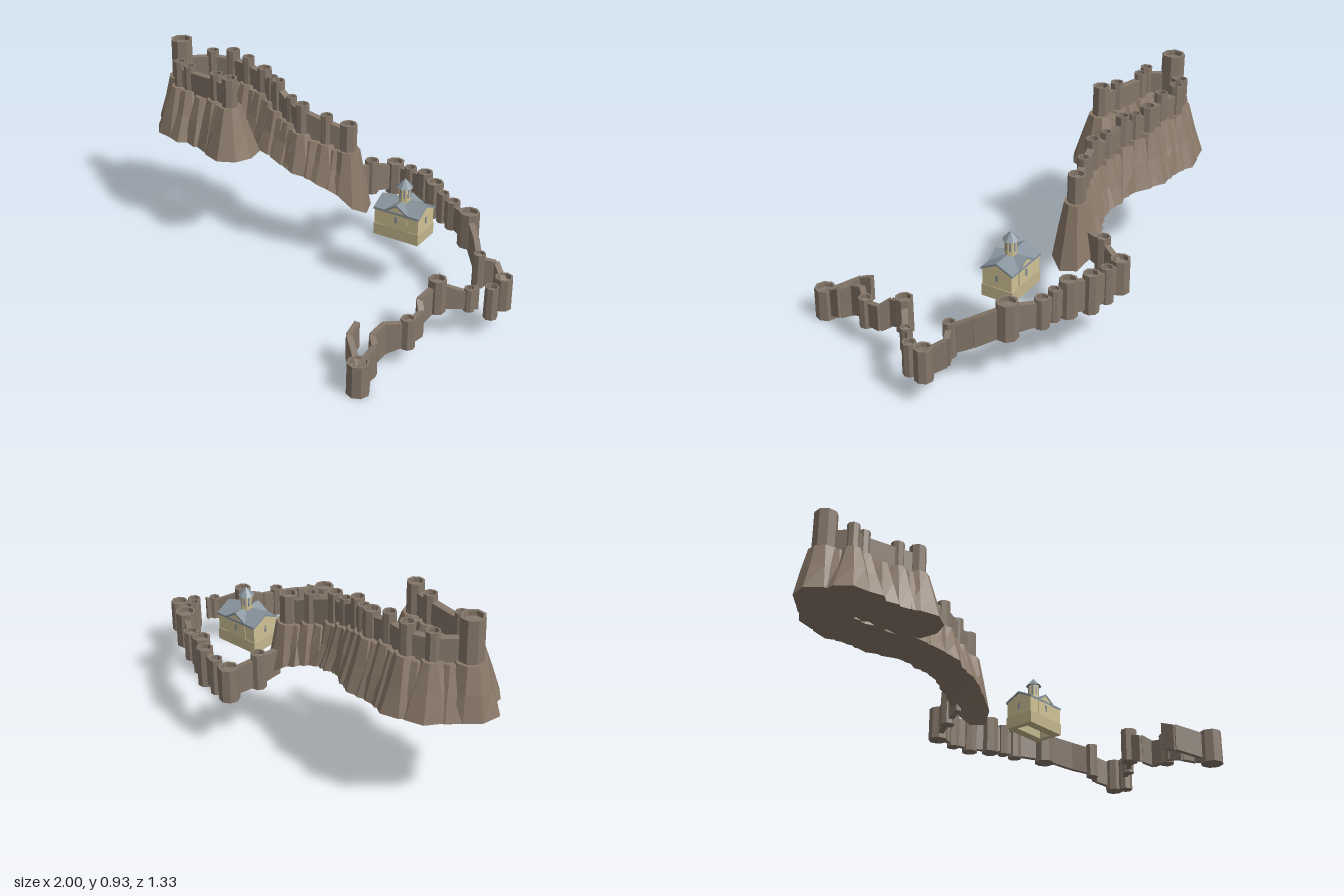
import * as THREE from 'three';
import { ConvexGeometry } from 'three/addons/geometries/ConvexGeometry.js';

const mat = (name, color) => {
  const m = new THREE.MeshStandardMaterial({ color });
  m.name = name;
  return m;
};

// Fixed pseudo-random value in -1..1
const noise = (n) => {
  const s = Math.sin(n * 127.1 + 3.7) * 43758.5453;
  return (s - Math.floor(s)) * 2 - 1;
};

export function createModel() {
  const stone = mat('tower stone', 0x85776a);
  const rock = mat('crag rock', 0x8b7a6a);
  const plaster = mat('cream plaster', 0xd0c296);
  const plinthStone = mat('plinth stone', 0xc4b78d);
  const slate = mat('slate roof', 0x87939c);
  const glass = mat('window grey', 0x7f8a96);

  const model = new THREE.Group();
  model.name = 'hillFortress';
  const addGroup = (name, parent = model) => {
    const g = new THREE.Group();
    g.name = name;
    parent.add(g);
    return g;
  };
  const add = (parent, name, geo, material, x = 0, y = 0, z = 0) => {
    const flat = geo.index ? geo.toNonIndexed() : geo;
    flat.computeVertexNormals();
    const mesh = new THREE.Mesh(flat, material);
    mesh.name = name;
    mesh.position.set(x, y, z);
    parent.add(mesh);
    return mesh;
  };

  // Eight-sided tower with a recessed top
  function tower(parent, x, z, r, y0, y1) {
    const h = y1 - y0, inner = r * 0.74;
    const profile = [[0, 0], [r, 0], [r * 0.97, h], [inner, h], [inner, h - 0.022], [0, h - 0.022]];
    const geo = new THREE.LatheGeometry(profile.map((p) => new THREE.Vector2(...p)), 8);
    add(parent, 'tower', geo, stone, x, y0, z).rotation.y = noise(x * 9 + z) * 0.4;
  }

  // Straight wall whose foot and top slope from a to b; each is [x, z, foot, top]
  function wall(parent, a, b, thick = 0.026) {
    const dx = b[0] - a[0], dz = b[1] - a[1];
    const k = thick / 2 / Math.hypot(dx, dz);
    const pts = [];
    for (const [x, z, y0, y1] of [a, b])
      for (const s of [-k, k])
        for (const y of [y0, y1]) pts.push(new THREE.Vector3(x - dz * s, y, z + dx * s));
    add(parent, 'wall', new ConvexGeometry(pts), stone);
  }

  // Foot of the crag, which drops away towards the east
  const ground = [[-1, 0.505], [-0.36, 0.49], [-0.2, 0.455], [0, 0.4], [0.07, 0.36], [0.17, 0.27]];
  const groundAt = (x) => {
    for (let i = 1; i < ground.length; i++) {
      const [xa, ya] = ground[i - 1], [xb, yb] = ground[i];
      if (x <= xb) return ya + ((yb - ya) * Math.max(0, x - xa)) / (xb - xa);
    }
    return 0.27;
  };

  // Faceted flared rock under a point of the ridge
  function crag(parent, x, z, top, rTop, rFoot, seed) {
    const sides = 9;
    const geo = new THREE.CylinderGeometry(1, 1, 1, sides, 2);
    const p = geo.attributes.position;
    for (let i = 0; i < p.count; i++) {
      const px = p.getX(i), pz = p.getZ(i), t = 0.5 - p.getY(i);
      const edge = Math.hypot(px, pz) > 0.5 ? 1 : 0;
      const col = (Math.round((Math.atan2(px, pz) / Math.PI / 2) * sides) + sides) % sides;
      const bump = 1 + t * 0.1 * noise(seed * 13 + col + (t > 0.7 ? 50 : 0));
      const r = edge * (rTop + (rFoot - rTop) * Math.pow(t, 1.1)) * bump;
      const a = (col / sides) * Math.PI * 2 + seed * 0.7;
      const vx = x + Math.sin(a) * r, vz = z + Math.cos(a) * r;
      p.setXYZ(i, vx, top + (groundAt(vx) - top) * t, vz);
    }
    add(parent, 'crag', geo, rock);
  }

  // Upper castle along the ridge: x, z, tower radius, crest height, tower top, rock radius
  const ridge = [
    [0.06, -0.35, 0.042, 0.57, 0.7, 0.107], [-0.045, -0.33, 0.03, 0.59, 0.73, 0.105],
    [-0.165, -0.315, 0.034, 0.625, 0.765, 0.105], [-0.24, -0.345, 0.027, 0.65, 0.775, 0.105],
    [-0.33, -0.38, 0.032, 0.68, 0.825, 0.11], [-0.385, -0.415, 0.028, 0.7, 0.82, 0.115],
    [-0.45, -0.45, 0.037, 0.72, 0.84, 0.12], [-0.55, -0.47, 0.03, 0.735, 0.87, 0.125],
    [-0.655, -0.5, 0.034, 0.735, 0.875, 0.125], [-0.76, -0.48, 0.032, 0.735, 0.86, 0.125],
    [-0.88, -0.39, 0.055, 0.735, 0.925, 0.125], [-0.82, -0.28, 0.03, 0.735, 0.86, 0.125],
    [-0.76, -0.275, 0.03, 0.73, 0.85, 0.125], [-0.585, -0.235, 0.032, 0.73, 0.86, 0.12],
    [-0.49, -0.2, 0.04, 0.73, 0.87, 0.133],
  ];
  const cliff = addGroup('cragRidge');
  const castle = addGroup('upperCastle');
  ridge.forEach((n, i) => {
    const [x, z, r, crest, top, foot] = n;
    crag(cliff, x, z, crest, r + 0.014, foot, i);
    tower(castle, x, z, r, crest - 0.03, top);
    const m = ridge[i + 1];
    if (!m) return;
    wall(castle, [x, z, crest - 0.06, Math.min(top, 0.86) - 0.03],
      [m[0], m[1], m[3] - 0.06, Math.min(m[4], 0.86) - 0.03], 0.034);
    // Filler rock between neighbouring towers
    const mid = n.map((v, k) => (v + m[k]) / 2);
    crag(cliff, mid[0], mid[1], mid[3] - 0.01, 0.04, mid[5] * 0.93, i + 30);
  });

  // Lower curtain walls: x, z, tower radius (0 is a bend in the wall), foot, top
  const northWall = [
    [0.075, -0.41, 0, 0.33, 0.45], [0.11, -0.505, 0.034, 0.29, 0.46], [0.18, -0.62, 0.046, 0.262, 0.42],
    [0.27, -0.6, 0.031, 0.25, 0.42], [0.36, -0.57, 0.038, 0.245, 0.43], [0.44, -0.505, 0.042, 0.25, 0.425],
    [0.5, -0.47, 0.028, 0.25, 0.4], [0.56, -0.445, 0.034, 0.245, 0.385], [0.68, -0.35, 0.049, 0.235, 0.405],
    [0.765, -0.24, 0, 0.2, 0.34], [0.815, -0.157, 0.029, 0.16, 0.325], [0.885, -0.185, 0, 0.16, 0.29],
    [0.95, -0.115, 0.042, 0.115, 0.268],
  ];
  const eastTower = [[0.928, -0.035, 0.032, 0.1, 0.255]];
  const southWall = [
    [0.875, -0.005, 0, 0.145, 0.26], [0.852, 0.03, 0.026, 0.15, 0.26], [0.735, 0.11, 0.041, 0.155, 0.315],
    [0.695, 0.205, 0, 0.12, 0.255], [0.725, 0.245, 0, 0.1, 0.225], [0.705, 0.33, 0.033, 0.088, 0.23],
    [0.627, 0.4, 0, 0.07, 0.22], [0.607, 0.47, 0, 0.045, 0.2], [0.642, 0.515, 0, 0.035, 0.185],
    [0.617, 0.61, 0.051, 0, 0.15], [0.51, 0.49, 0, 0.06, 0.18], [0.515, 0.425, 0, 0.08, 0.205],
  ];
  Object.entries({ northWall, eastTower, southWall }).forEach(([name, nodes]) => {
    const g = addGroup(name);
    const end = ([x, z, r, y0, y1]) => [x, z, r ? y0 + 0.012 : y0, r ? y1 - 0.02 : y1];
    nodes.forEach((n, i) => {
      if (n[2]) tower(g, ...n);
      if (i) wall(g, end(nodes[i - 1]), end(n));
    });
  });

  // Church, with its own origin at the middle of the floor
  const church = addGroup('church');
  church.position.set(0.415, 0.285, -0.222);
  church.rotation.y = -0.06;
  const extrude = (pts, depth) => {
    const shape = new THREE.Shape(pts.map((p) => new THREE.Vector2(...p)));
    return new THREE.ExtrudeGeometry(shape, { depth, bevelEnabled: false }).translate(0, 0, -depth / 2);
  };
  const eave = 0.13, peak = 0.165;
  const gable = (w, depth) => extrude([[-w, 0.055], [w, 0.055], [w, eave], [0, peak], [-w, eave]], depth);
  const roof = (w, depth) => extrude(
    [[-w, eave - 0.003], [0, peak], [w, eave - 0.003], [w, eave + 0.007], [0, peak + 0.01], [-w, eave + 0.007]], depth);

  // Hollow plinth under the nave
  const base = new THREE.Shape([[-0.114, -0.075], [0.114, -0.075], [0.114, 0.075], [-0.114, 0.075]]
    .map((p) => new THREE.Vector2(...p)));
  base.holes.push(new THREE.Path([[-0.085, -0.03], [-0.085, 0.03], [0.085, 0.03], [0.085, -0.03]]
    .map((p) => new THREE.Vector2(...p))));
  add(church, 'plinth', new THREE.ExtrudeGeometry(base, { depth: 0.056, bevelEnabled: false })
    .rotateX(-Math.PI / 2), plinthStone);
  add(church, 'nave', gable(0.072, 0.222).rotateY(Math.PI / 2), plaster);
  add(church, 'naveRoof', roof(0.077, 0.23).rotateY(Math.PI / 2), slate);
  add(church, 'transept', gable(0.055, 0.15), plaster);
  add(church, 'transeptRoof', roof(0.06, 0.154), slate);

  // Drum and pointed roof over the crossing
  add(church, 'drum', new THREE.CylinderGeometry(0.027, 0.027, 0.105, 8), plaster, 0, 0.19, 0);
  add(church, 'drumRoof', new THREE.CylinderGeometry(0, 0.038, 0.042, 8), slate, 0, 0.258, 0);
  for (let i = 0; i < 8; i++) {
    const a = ((i + 0.5) / 8) * Math.PI * 2;
    add(church, 'drumWindow', new THREE.BoxGeometry(0.007, 0.042, 0.003), glass,
      Math.sin(a) * 0.025, 0.21, Math.cos(a) * 0.025).rotation.y = a;
  }

  // Narrow windows in the four gables
  for (const s of [-1, 1]) {
    add(church, 'transeptWindow', new THREE.BoxGeometry(0.01, 0.03, 0.004), glass, 0, 0.1, s * 0.0755);
    add(church, 'naveWindow', new THREE.BoxGeometry(0.004, 0.03, 0.01), glass, s * 0.1115, 0.1, 0);
  }
  return model;
}
